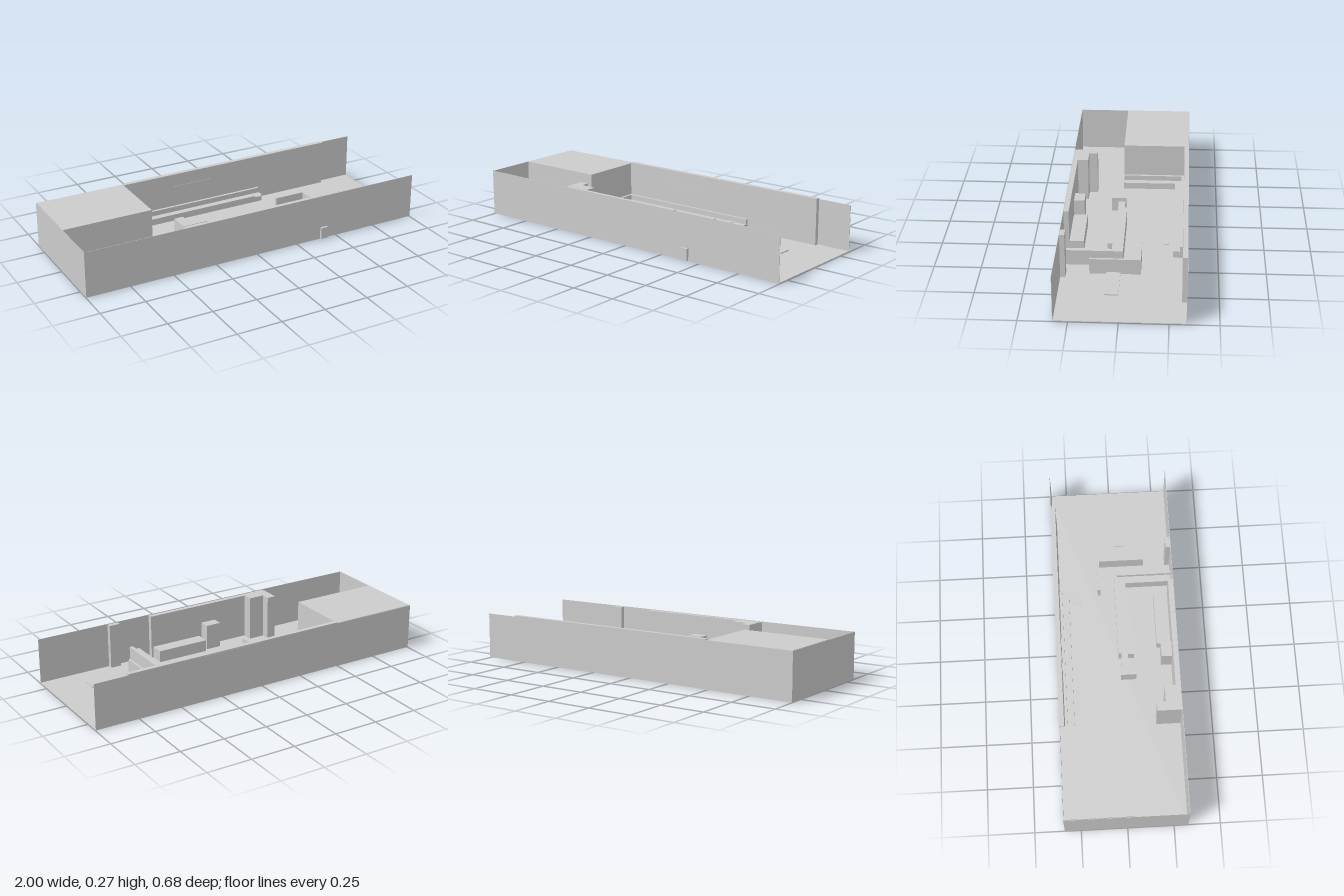
import * as THREE from 'three';

export function createModel() {
  const model = new THREE.Group();
  const material = new THREE.MeshStandardMaterial({ color: 0xcccccc, flatShading: true, side: THREE.DoubleSide });

  // Box given by its extents on each axis
  function box(name, x0, x1, y0, y1, z0, z1, parent = model) {
    const mesh = new THREE.Mesh(new THREE.BoxGeometry(x1 - x0, y1 - y0, z1 - z0), material);
    mesh.position.set((x0 + x1) / 2, (y0 + y1) / 2, (z0 + z1) / 2);
    mesh.name = name;
    parent.add(mesh);
    return mesh;
  }
  function group(name) {
    const g = new THREE.Group();
    g.name = name;
    model.add(g);
    return g;
  }

  // Room shell, open at the +x end and on top
  const F = 0.006;
  const H = 0.259;
  const shell = group('roomShell');
  box('floor', -1, 1, 0.003, F, -0.337, 0.325, shell);
  box('frontWall', -1, 1, 0.003, H, 0.324, 0.326, shell);
  box('backWall', -1, 1, 0.003, H, -0.338, -0.336, shell);
  box('endWall', -1, -0.998, 0.003, H, -0.337, 0.325, shell);
  box('cornerRoom', -0.996, -0.49, 0, 0.26, -0.335, 0.04, shell);

  // Panelling on the back wall with a slim display
  const panelling = group('backPanelling');
  box('backPanel', -0.49, 0.805, 0.002, 0.265, -0.3375, -0.312, panelling);
  box('wallDisplay', -0.185, 0.05, 0.16, 0.192, -0.312, -0.31, panelling);

  // Corner bench: seat and backrest on two sides
  const bench = group('cornerBench');
  box('benchSeatBack', -0.475, 0.36, F, 0.043, -0.3, -0.26, bench);
  box('benchSeatSide', -0.475, -0.437, F, 0.043, -0.26, 0.04, bench);
  box('benchBackrestBack', -0.49, 0.36, F, 0.072, -0.312, -0.297, bench);
  box('benchBackrestSide', -0.49, -0.475, F, 0.072, -0.297, 0.04, bench);

  // Cabinets along the front wall
  const cabinets = group('wallCabinets');
  box('cabinetBacking', -0.43, 0.33, F, 0.256, 0.297, 0.324, cabinets);
  box('endCabinet', -0.43, -0.38, F, 0.258, 0.19, 0.297, cabinets);
  box('tallCabinet', -0.38, -0.29, F, 0.258, 0.238, 0.297, cabinets);
  box('mediumCabinet', -0.085, 0.003, F, 0.15, 0.238, 0.297, cabinets);
  box('lowCabinet', 0.02, 0.32, F, 0.072, 0.22, 0.297, cabinets);
  box('wallColumn', 0.525, 0.587, F, 0.256, 0.297, 0.324);

  // Bar: low worktop wrapped by a higher ledge
  const bar = group('bar');
  box('barSideCounter', 0.395, 0.435, F, 0.072, 0.016, 0.34, bar);
  box('barSideLedge', 0.435, 0.455, F, 0.092, 0.003, 0.324, bar);
  box('barFrontLedge', -0.035, 0.435, F, 0.092, 0.003, 0.018, bar);
  box('barFrontCounter', -0.035, 0.34, F, 0.072, 0.018, 0.09, bar);
  box('barCornerCounter', 0.34, 0.395, F, 0.072, 0.018, 0.065, bar);
  box('barEndCounter', -0.147, -0.035, F, 0.072, 0.018, 0.056, bar);
  box('barEndPanel', -0.162, -0.147, F, 0.092, 0.01, 0.095, bar);

  // L-shaped partition
  const partition = group('partition');
  box('partitionLong', 0.528, 0.542, F, 0.092, -0.08, 0.175, partition);
  box('partitionShort', 0.353, 0.542, F, 0.092, -0.095, -0.08, partition);

  // Table tops
  box('rectangularTableTop', 0.63, 0.845, 0.063, 0.069, 0.007, 0.08);
  const round = new THREE.Mesh(new THREE.CylinderGeometry(0.022, 0.022, 0.003, 32), material);
  round.name = 'roundTableTop';
  round.position.set(0.305, 0.067, -0.216);
  model.add(round);

  return model;
}
